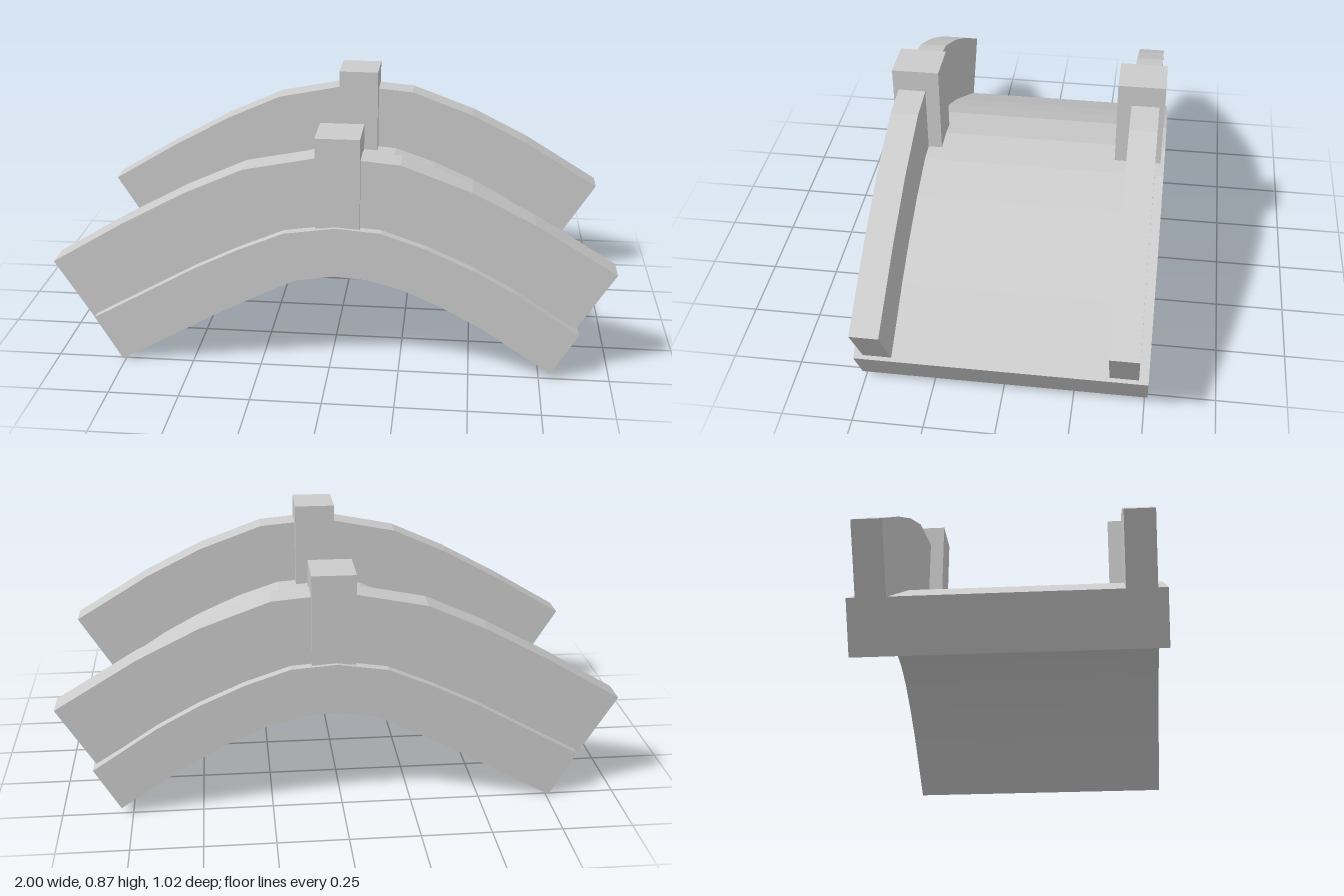
import * as THREE from 'three';

// Arched outlines, each listed left to right
const deckUnder = [[-0.76, 0], [-0.39, 0.21], [-0.25, 0.283], [-0.12, 0.347], [0.02, 0.37], [0.14, 0.36], [0.26, 0.328], [0.4, 0.266], [0.54, 0.19], [0.79, 0.025]];
const deckTop = [[-0.855, 0.165], [-0.48, 0.377], [-0.32, 0.456], [-0.16, 0.525], [0.02, 0.552], [0.18, 0.54], [0.34, 0.486], [0.5, 0.415], [0.65, 0.333], [0.88, 0.18]];
const wallUnder = [[-0.865, 0.147], [-0.48, 0.374], [-0.32, 0.452], [-0.16, 0.521], [0.02, 0.548], [0.18, 0.536], [0.34, 0.482], [0.5, 0.411], [0.65, 0.329], [0.87, 0.19]];
const wallTop = [[-1, 0.367], [-0.74, 0.524], [-0.51, 0.65], [-0.3, 0.745], [-0.04, 0.797], [0.1, 0.793], [0.245, 0.78], [0.49, 0.69], [0.71, 0.58], [1, 0.403]];

export function createModel() {
  const model = new THREE.Group();
  const material = new THREE.MeshStandardMaterial({ color: 0xcccccc, flatShading: true });

  const add = (name, geometry, x, y, z) => {
    const mesh = new THREE.Mesh(geometry, material);
    mesh.name = name;
    mesh.position.set(x, y, z);
    model.add(mesh);
  };

  // Band between two outlines, extruded along z and centred on it
  const archBand = (under, top, depth) => {
    const outline = [...under, ...[...top].reverse()].map(([x, y]) => new THREE.Vector2(x, y));
    const geometry = new THREE.ExtrudeGeometry(new THREE.Shape(outline), { depth, bevelEnabled: false });
    return geometry.translate(0, 0, -depth / 2);
  };

  // Arched walkway
  add('deck', archBand(deckUnder, deckTop, 1.02), 0, 0, 0);

  // Side walls, each with a post at the crown
  for (const [side, sign] of [['front', 1], ['back', -1]]) {
    add(side + 'Wall', archBand(wallUnder, wallTop, 0.1), 0, 0, sign * 0.427);
    add(side + 'Post', new THREE.BoxGeometry(0.155, 0.329, 0.17), 0.03, 0.7085, sign * 0.411);
  }
  return model;
}
